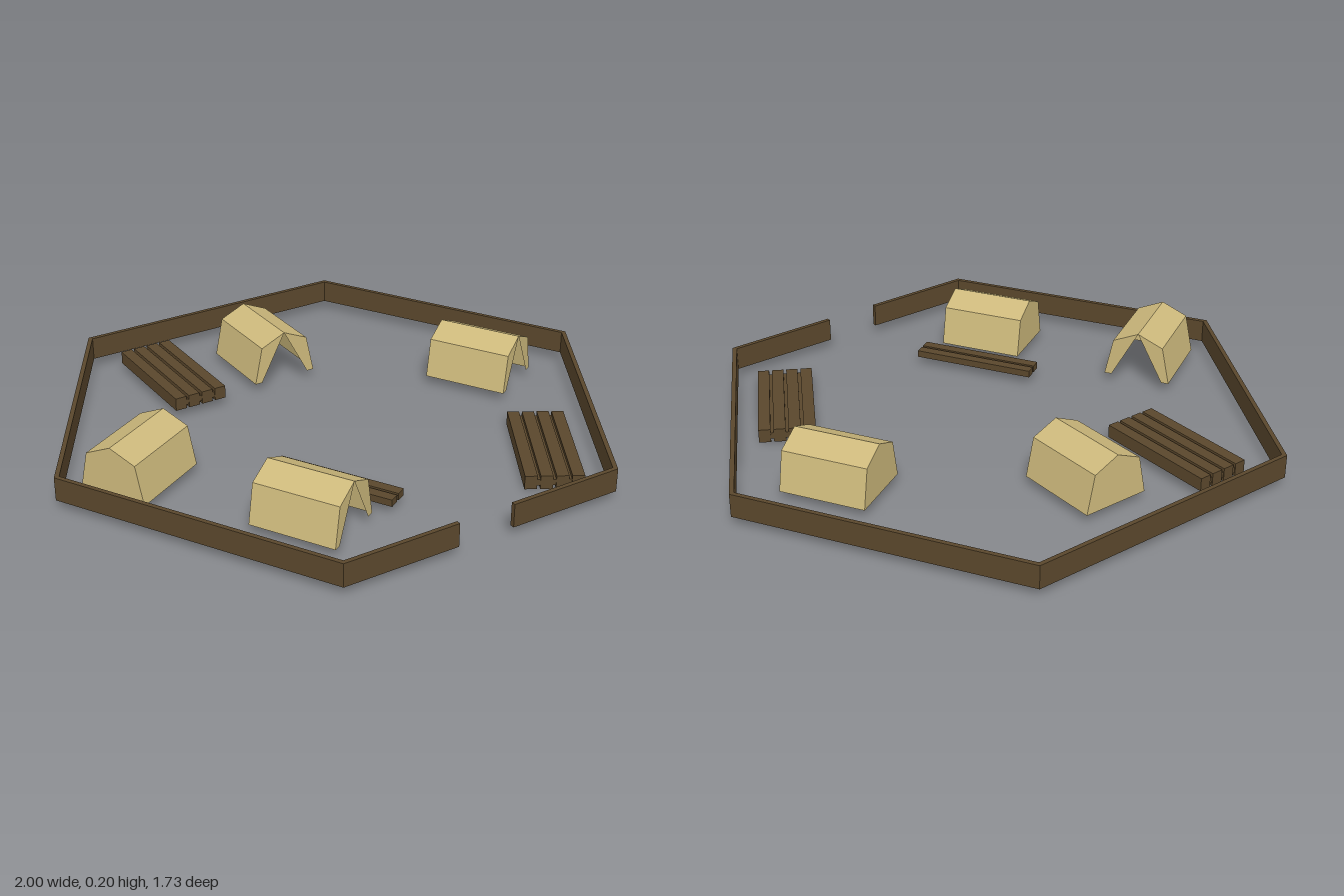
import * as THREE from 'three';

const wood = new THREE.MeshStandardMaterial({ color: 0x5a472c });
const canvas = new THREE.MeshStandardMaterial({ color: 0xcdb97c, flatShading: true, side: THREE.DoubleSide });
const GROUND = 0.03;

function box(name, w, h, d, x, y, z) {
  const mesh = new THREE.Mesh(new THREE.BoxGeometry(w, h, d), wood);
  mesh.name = name;
  mesh.position.set(x, y + h / 2, z);
  return mesh;
}

function placed(name, x, y, z, degrees) {
  const group = new THREE.Group();
  group.name = name;
  group.position.set(x, y, z);
  group.rotation.y = THREE.MathUtils.degToRad(degrees);
  return group;
}

// Hexagonal palisade with a gateway in the front wall
function createFence() {
  const fence = new THREE.Group();
  fence.name = 'fence';
  const t = 0.015, h = 0.08, z = 0.866 - t / 2;
  for (const s of [-1, 1]) fence.add(box('frontFenceWall', 0.4, h, t, s * 0.3, GROUND, z));
  for (let k = 1; k < 6; k++) {
    const side = placed('fenceSide', 0, GROUND, 0, k * 60);
    side.add(box('fenceWall', 1, h, t, 0, 0, z));
    fence.add(side);
  }
  return fence;
}

// Open-fronted ridge tent, opening towards its own +z
function createTent(x, z, degrees) {
  const tent = placed('tent', x, GROUND, z, degrees);
  const half = 0.1475;
  const profile = [[-0.118, 0], [-0.09, 0.132], [0, 0.172], [0.09, 0.132], [0.118, 0]];

  // Sides and roof: the profile swept from back to front
  const pos = [], index = [];
  for (const [px, py] of profile) pos.push(px, py, -half, px, py, half);
  for (let i = 0; i < profile.length - 1; i++) {
    const a = i * 2;
    index.push(a, a + 1, a + 3, a, a + 3, a + 2);
  }
  const shell = new THREE.BufferGeometry();
  shell.setAttribute('position', new THREE.Float32BufferAttribute(pos, 3));
  shell.setIndex(index);
  const cover = new THREE.BufferGeometry().copy(shell.toNonIndexed());
  cover.computeVertexNormals();

  const panel = (points) => new THREE.ShapeGeometry(
    new THREE.Shape(points.map(([px, py]) => new THREE.Vector2(px, py))));
  const add = (name, geometry) => {
    const mesh = new THREE.Mesh(geometry, canvas);
    mesh.name = name;
    tent.add(mesh);
  };
  add('tentCover', cover);
  add('tentBackWall', panel(profile).rotateY(Math.PI).translate(0, 0, -half));

  // Front flaps leave a triangular doorway under the ridge
  for (const s of [-1, 1]) {
    add('tentFrontFlap', panel([[s * 0.118, 0], [s * 0.09, 0.132], [0, 0.172], [s * 0.092, 0]])
      .translate(0, 0, half));
  }
  return tent;
}

// Row of beams along z, optionally joined by a lower filler layer
function createBeams(name, count, width, height, x, y, z, degrees, filler) {
  const stack = placed(name, x, y, z, degrees);
  const gap = 0.01, length = 0.433;
  const w = (width - gap * (count - 1)) / count;
  for (let i = 0; i < count; i++) {
    const bx = (i - (count - 1) / 2) * (w + gap);
    stack.add(box('beam', w, height, length, bx, 0, 0));
  }
  if (filler) stack.add(box('innerBeams', width - w, height * 0.45, length - 0.006, 0, height * 0.25, 0));
  return stack;
}

export function createModel() {
  const camp = new THREE.Group();
  camp.name = 'camp';
  camp.add(createFence());

  // Tents
  camp.add(createTent(0.025, -0.508, 0));
  camp.add(createTent(0.632, -0.032, 30));
  camp.add(createTent(-0.389, 0.504, 30));
  camp.add(createTent(-0.715, 0, 120));

  // Timber stacks and a pair of loose beams
  camp.add(createBeams('backTimberStack', 4, 0.19, 0.045, -0.325, GROUND, -0.547, 0, true));
  camp.add(createBeams('frontTimberStack', 4, 0.19, 0.047, 0.488, 0, 0.528, -30, true));
  camp.add(createBeams('loosePlanks', 2, 0.08, 0.024, -0.217, GROUND, 0.37, 30, false));
  return camp;
}
